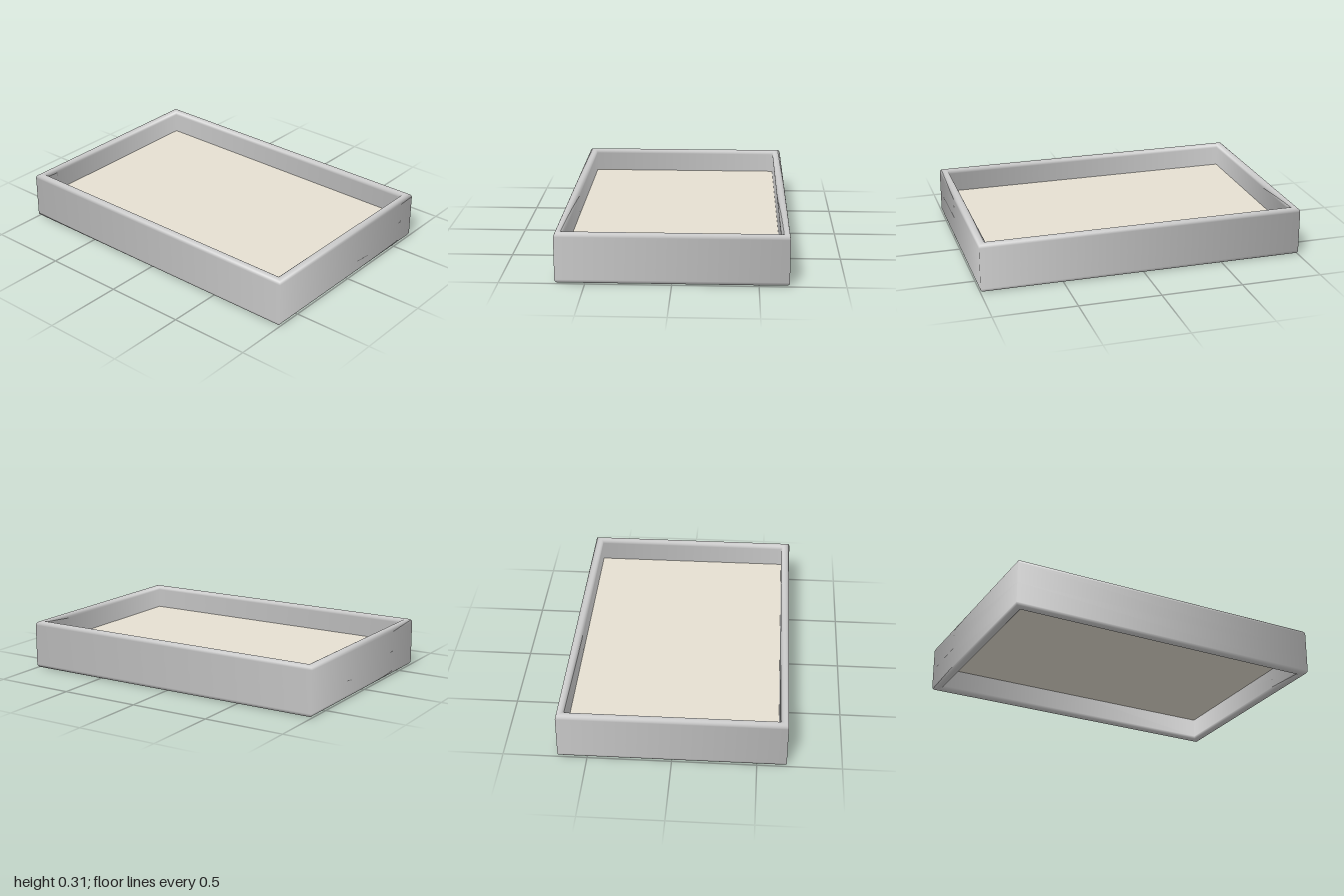
import * as THREE from 'three';

const HALF_X = 1, HALF_Z = 0.675, HEIGHT = 0.305, WALL = 0.053, ROUND = 0.025;

// Rim cross-section: a closed rounded rectangle, its outer face at radius 1
function rimProfile() {
  const inner = 1 - WALL, r = ROUND;
  const s = new THREE.Shape();
  s.moveTo(1, HEIGHT / 2);
  s.lineTo(1, HEIGHT - r);
  s.absarc(1 - r, HEIGHT - r, r, 0, Math.PI / 2, false);
  s.absarc(inner + r, HEIGHT - r, r, Math.PI / 2, Math.PI, false);
  s.absarc(inner + r, r, r, Math.PI, Math.PI * 1.5, false);
  s.absarc(1 - r, r, r, Math.PI * 1.5, Math.PI * 2, false);
  s.lineTo(1, HEIGHT / 2);
  return s.getPoints(8);
}

// Four-sided sweep of the profile, stretched to a rectangle with mitred corners
function rimGeometry() {
  const geo = new THREE.LatheGeometry(rimProfile(), 4, Math.PI / 4);
  const p = geo.attributes.position;
  for (let i = 0; i < p.count; i++) {
    const x = p.getX(i), z = p.getZ(i);
    const inset = 1 - Math.hypot(x, z);
    p.setX(i, Math.sign(x) * (HALF_X - inset));
    p.setZ(i, Math.sign(z) * (HALF_Z - inset));
  }
  return geo;
}

export function createModel() {
  const group = new THREE.Group();
  group.name = 'tray';

  // Rounded rim
  const rim = new THREE.Mesh(rimGeometry(), new THREE.MeshStandardMaterial({ color: 0xcccccc }));
  rim.name = 'rim';
  group.add(rim);

  // Thin panel held at mid-height, its edges tucked into the rim
  const panel = new THREE.Mesh(
    new THREE.BoxGeometry(2 * (HALF_X - WALL + 0.01), 0.01, 2 * (HALF_Z - WALL + 0.01)),
    new THREE.MeshStandardMaterial({ color: 0xe6e0d2 })
  );
  panel.name = 'panel';
  panel.position.y = HEIGHT / 2;
  group.add(panel);

  return group;
}
